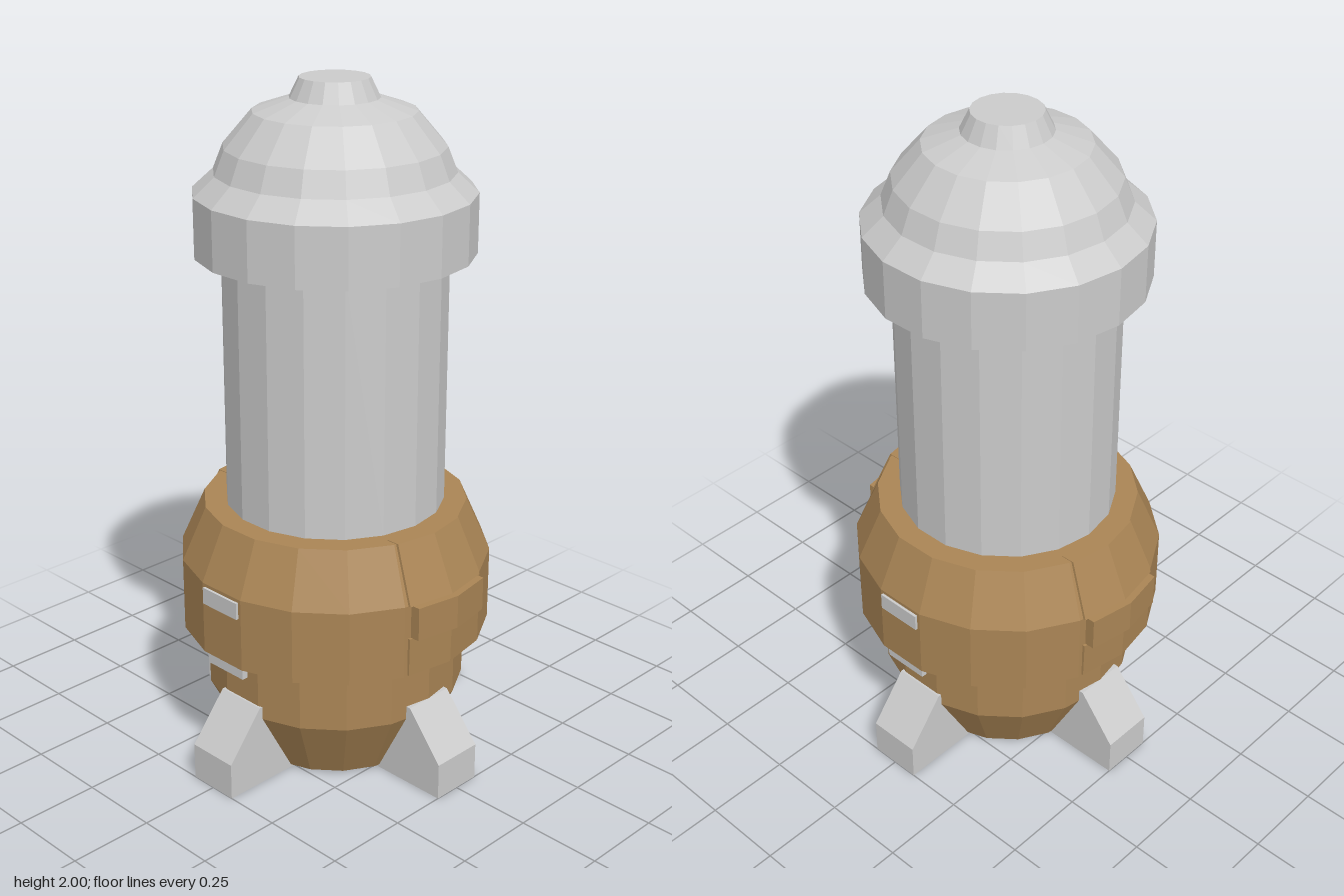
import * as THREE from 'three';
import { ConvexGeometry } from 'three/addons/geometries/ConvexGeometry.js';

const SIDES = 18;
const grey = new THREE.MeshStandardMaterial({ color: 0xcccccc, flatShading: true });
const brown = new THREE.MeshStandardMaterial({ color: 0xaa8555, flatShading: true });

export function createModel() {
  const model = new THREE.Group();

  function add(name, geometry, material, parent = model) {
    const mesh = new THREE.Mesh(geometry, material);
    mesh.name = name;
    parent.add(mesh);
    return mesh;
  }

  // Faceted solid of revolution, with a corner on the x axis; profile runs from bottom to top
  function turned(name, profile, material) {
    const points = profile.map(([r, y]) => new THREE.Vector2(r, y));
    const geometry = new THREE.LatheGeometry(points, SIDES);
    geometry.rotateY(Math.PI / 2);
    return add(name, geometry, material);
  }

  turned('base', [[0, 0.008], [0.28, 0.008], [0.385, 0.21], [0.385, 0.4], [0, 0.4]], brown);
  turned('collar', [[0, 0.4], [0.457, 0.4], [0.457, 0.62], [0.386, 0.78], [0, 0.78]], brown);
  turned('tube', [[0, 0.77], [0.32, 0.77], [0.32, 1.53], [0, 1.53]], grey);
  turned('head', [
    [0, 1.52], [0.396, 1.52], [0.396, 1.69], [0.336, 1.745], [0.308, 1.815],
    [0.227, 1.91], [0.125, 1.945], [0, 1.945],
  ], grey);
  turned('tip', [[0, 1.94], [0.125, 1.945], [0.098, 2], [0, 2]], grey);

  // Two crossed slabs form the four fins
  const outline = new THREE.Shape([
    [-0.5, 0], [0.5, 0], [0.5, 0.11], [0.385, 0.25], [0.27, 0.25], [0.2, 0.04],
    [-0.2, 0.04], [-0.27, 0.25], [-0.385, 0.25], [-0.5, 0.11],
  ].map(([x, y]) => new THREE.Vector2(x, y)));
  for (const [name, turn] of [['sideFins', 0], ['frontBackFins', Math.PI / 2]]) {
    const geometry = new THREE.ExtrudeGeometry(outline, { depth: 0.16, bevelEnabled: false });
    geometry.translate(0, 0, -0.08).rotateY(turn);
    add(name, geometry, grey);
  }

  // Bent plate on the collar's side: each row is [y, radius, half width]
  const bend = Math.tan(Math.PI / SIDES);
  function plate(name, rows, parent) {
    const points = [];
    for (const [y, r, w] of rows) {
      points.push(new THREE.Vector3(r, y, 0));
      for (const z of [-w, w]) {
        points.push(new THREE.Vector3(r - w * bend, y, z), new THREE.Vector3(0.33, y, z));
      }
    }
    add(name, new ConvexGeometry(points), brown, parent);
  }

  for (const [side, turn] of [['left', 0], ['right', Math.PI]]) {
    const panel = new THREE.Group();
    panel.name = side + 'Panel';
    panel.rotation.y = turn;
    model.add(panel);
    plate('lowerPlate', [[0.405, 0.463, 0.145], [0.52, 0.465, 0.145]], panel);
    plate('middlePlate', [[0.52, 0.486, 0.135], [0.62, 0.486, 0.135]], panel);
    plate('upperPlate', [[0.62, 0.465, 0.145], [0.782, 0.393, 0.125]], panel);
  }

  // Small clips on the front and back of the collar
  for (const [side, sign] of [['front', 1], ['back', -1]]) {
    add(side + 'UpperClip', new THREE.BoxGeometry(0.14, 0.05, 0.04), grey)
      .position.set(0, 0.585, sign * 0.438);
    add(side + 'LowerClip', new THREE.BoxGeometry(0.14, 0.06, 0.018), grey)
      .position.set(0, 0.392, sign * 0.43);
  }

  return model;
}
